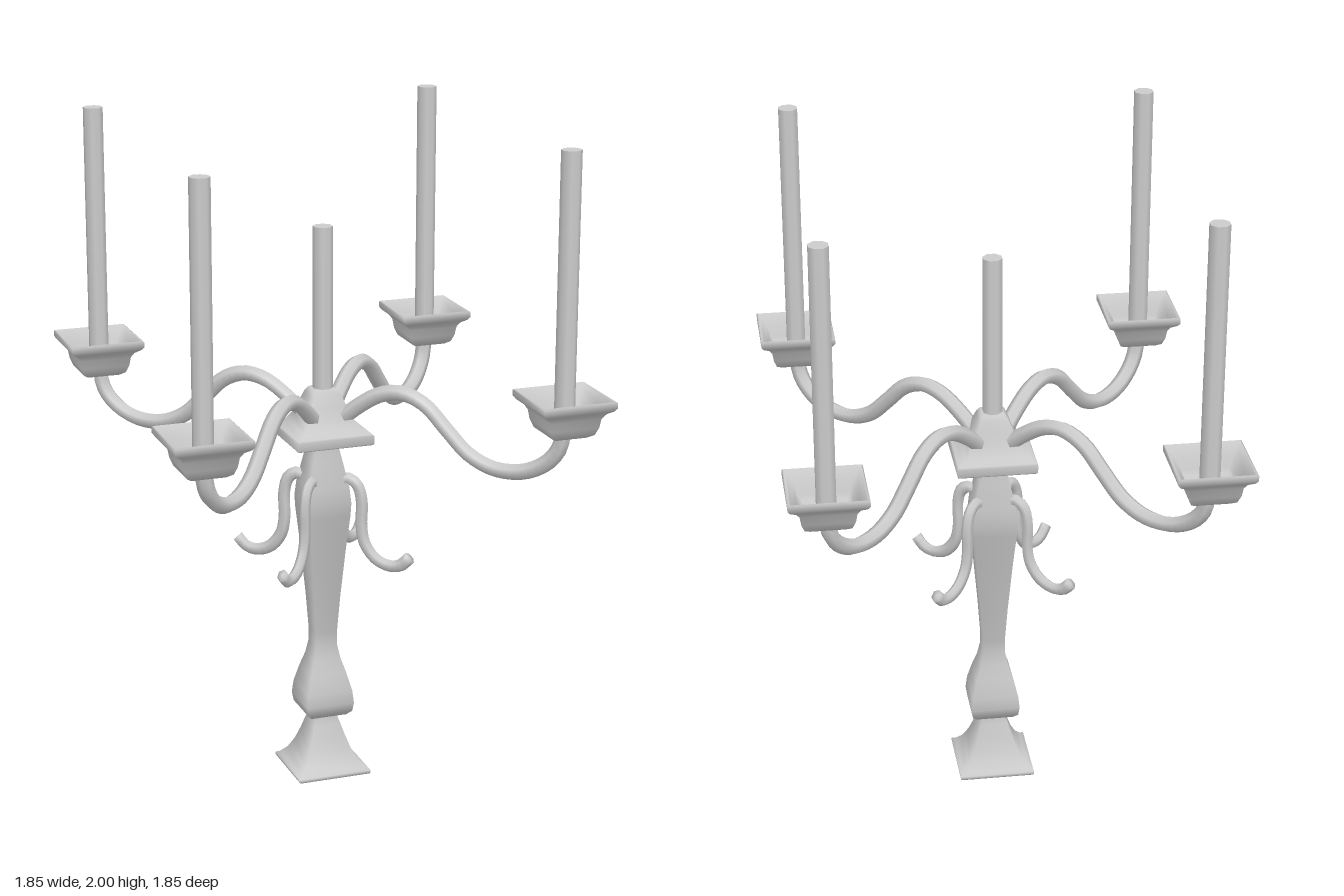
import * as THREE from 'three';

const material = new THREE.MeshStandardMaterial({ color: 0xcccccc });

function mesh(name, geometry) {
  const m = new THREE.Mesh(geometry, material);
  m.name = name;
  return m;
}

// Four-sided turned part, corners on the x and z axes; profile is [radius, y] from the bottom up.
function turned(name, profile) {
  const points = profile.map(([r, y]) => new THREE.Vector2(r, y));
  return mesh(name, new THREE.LatheGeometry(points, 4));
}

// Six-sided bar swept along a curve in the xy plane, ridge on top, closed at both ends.
function sweptBar(name, path, height, width, steps) {
  const curve = new THREE.CatmullRomCurve3(path.map(([x, y]) => new THREE.Vector3(x, y, 0)));
  const sides = 6, positions = [], index = [];
  const rings = [[0, 0]];
  for (let i = 0; i <= steps; i++) rings.push([i / steps, 1]);
  rings.push([1, 0]);
  rings.forEach(([u, scale], i) => {
    const p = curve.getPointAt(u), t = curve.getTangentAt(u);
    for (let k = 0; k < sides; k++) {
      const a = (k / sides) * Math.PI * 2;
      const n = Math.cos(a) * height * scale, b = Math.sin(a) * width * scale;
      positions.push(p.x - t.y * n, p.y + t.x * n, b);
      if (i === rings.length - 1) continue;
      const v0 = i * sides + k, v1 = i * sides + (k + 1) % sides;
      index.push(v0, v1, v0 + sides, v1, v1 + sides, v0 + sides);
    }
  });
  const g = new THREE.BufferGeometry();
  g.setAttribute('position', new THREE.Float32BufferAttribute(positions, 3));
  g.setIndex(index);
  g.computeVertexNormals();
  return mesh(name, g);
}

function candle(x, bottom, top) {
  const g = new THREE.CylinderGeometry(0.03, 0.03, top - bottom, 8);
  g.rotateY(Math.PI / 8);
  const m = mesh('candle', g);
  m.position.set(x, (bottom + top) / 2, 0);
  return m;
}

export function createModel() {
  const model = new THREE.Group();
  model.name = 'candelabra';

  // Foot and baluster stem
  model.add(turned('foot', [
    [0, 0], [0.16, 0], [0.163, 0.004], [0.163, 0.012], [0.148, 0.018], [0.12, 0.04],
    [0.095, 0.075], [0.075, 0.115], [0.06, 0.15], [0.05, 0.17], [0.05, 0.185],
  ]));
  model.add(turned('stem', [
    [0.045, 0.175], [0.08, 0.183], [0.1, 0.198], [0.106, 0.225], [0.1, 0.265], [0.08, 0.32],
    [0.06, 0.365], [0.048, 0.41], [0.048, 0.45], [0.058, 0.56], [0.078, 0.73], [0.092, 0.83],
    [0.095, 0.87], [0.088, 0.92], [0.065, 1.0], [0.05, 1.05], [0.047, 1.08],
  ]));

  // Collar where the arms meet, with the shorter middle candle
  model.add(turned('collar', [
    [0, 1.062], [0.165, 1.062], [0.169, 1.066], [0.169, 1.09], [0.163, 1.095], [0.125, 1.108],
    [0.1, 1.135], [0.08, 1.17], [0.06, 1.205], [0.045, 1.22], [0, 1.222],
  ]));
  model.add(candle(0, 1.2, 1.71));

  const armPath = [
    [0.06, 1.13], [0.12, 1.18], [0.19, 1.222], [0.26, 1.233], [0.33, 1.207], [0.4, 1.14],
    [0.47, 1.075], [0.55, 1.042], [0.64, 1.045], [0.71, 1.08], [0.75, 1.13], [0.763, 1.2],
  ];
  const hookPath = [
    [0.05, 0.935], [0.085, 0.945], [0.112, 0.925], [0.125, 0.875], [0.124, 0.8],
    [0.135, 0.745], [0.17, 0.7], [0.215, 0.683], [0.25, 0.69], [0.278, 0.718],
  ];
  const cupProfile = [
    [0, 1.172], [0.07, 1.174], [0.093, 1.185], [0.106, 1.208], [0.112, 1.235], [0.125, 1.25],
    [0.15, 1.262], [0.16, 1.272], [0.16, 1.288], [0.154, 1.291], [0.145, 1.284],
    [0.117, 1.258], [0.104, 1.225], [0.09, 1.212], [0, 1.21],
  ];

  // Four arms, each with a cup and candle, and four scrolls on the stem
  for (let i = 0; i < 4; i++) {
    const branch = new THREE.Group();
    branch.name = 'branch';
    const cup = turned('cup', cupProfile);
    cup.position.x = 0.763;
    branch.add(sweptBar('arm', armPath, 0.024, 0.025, 36), cup, candle(0.763, 1.2, 2));
    branch.rotation.y = i * Math.PI / 2;
    model.add(branch);

    const scroll = sweptBar('scroll', hookPath, 0.019, 0.016, 24);
    scroll.rotation.y = i * Math.PI / 2 + (i % 2 ? 0 : 0.08);
    model.add(scroll);
  }
  return model;
}
